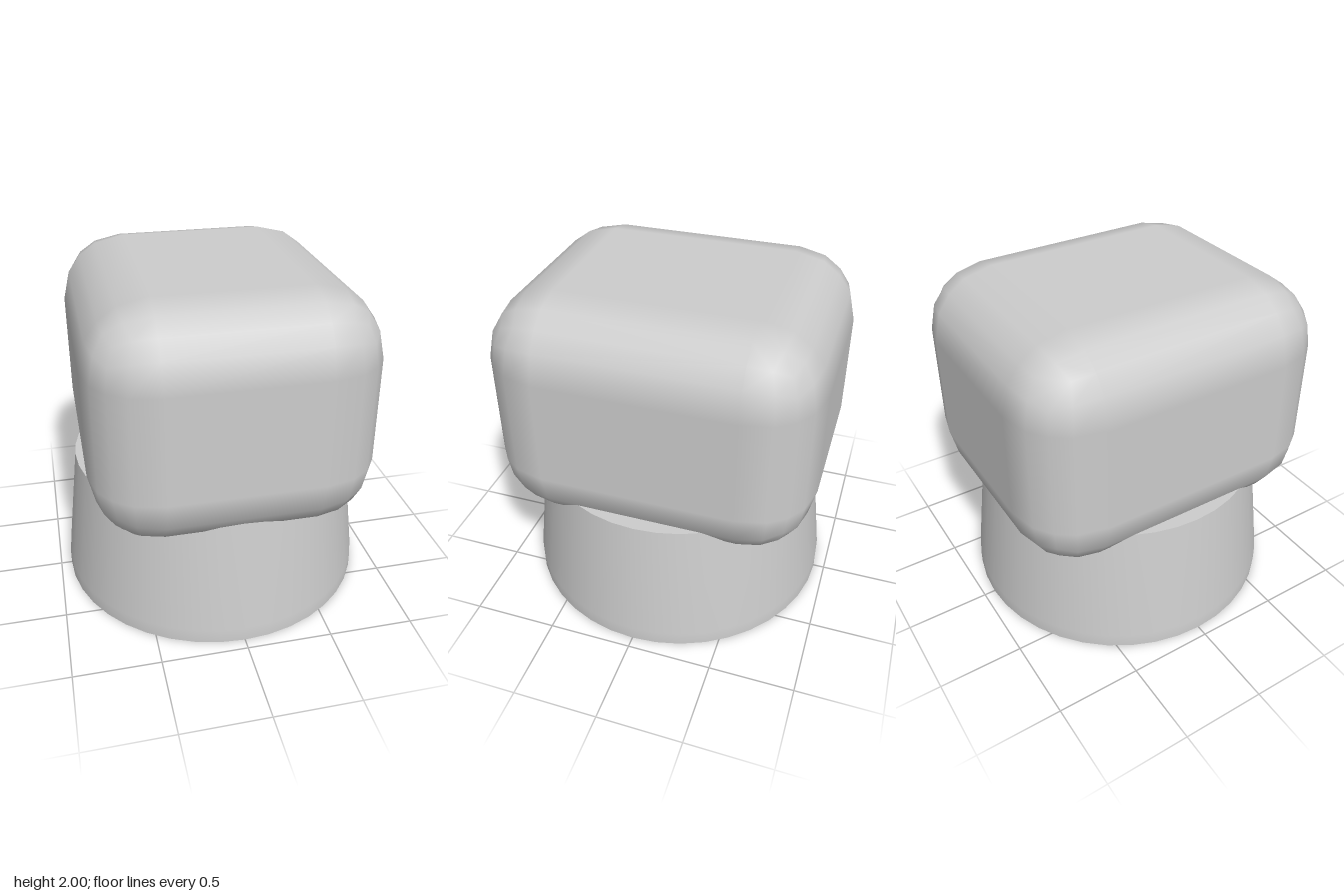
import * as THREE from 'three';
import { RoundedBoxGeometry } from 'three/addons/geometries/RoundedBoxGeometry.js';

const SIDES = 40;
const BASE_RADIUS = 0.933;
const TOP_RADIUS = 0.845;
const COLLAR_HEIGHT = 0.815;

export function createModel() {
  const model = new THREE.Group();
  const grey = new THREE.MeshStandardMaterial({ color: 0xcccccc });
  grey.name = 'plain grey';

  const add = (parent, name, geometry) => {
    const mesh = new THREE.Mesh(geometry, grey);
    mesh.name = name;
    parent.add(mesh);
    return mesh;
  };

  // Softly rounded block, sunk into the neck
  const head = add(model, 'head', new RoundedBoxGeometry(1.62, 1.38, 1.87, 2, 0.38));
  head.position.y = 1.31;

  // Tapered neck with a short straight foot
  const neck = new THREE.Group();
  neck.name = 'neck';
  model.add(neck);
  const profile = [
    new THREE.Vector2(BASE_RADIUS, 0),
    new THREE.Vector2(BASE_RADIUS, 0.085),
    new THREE.Vector2(TOP_RADIUS, COLLAR_HEIGHT),
  ];
  add(neck, 'neckWall', new THREE.LatheGeometry(profile, SIDES));

  // Flat discs closing the neck
  const top = add(neck, 'neckTop', new THREE.CircleGeometry(TOP_RADIUS, SIDES));
  top.rotation.x = -Math.PI / 2;
  top.position.y = COLLAR_HEIGHT;
  const bottom = add(neck, 'neckBottom', new THREE.CircleGeometry(BASE_RADIUS, SIDES));
  bottom.rotation.x = Math.PI / 2;

  return model;
}
